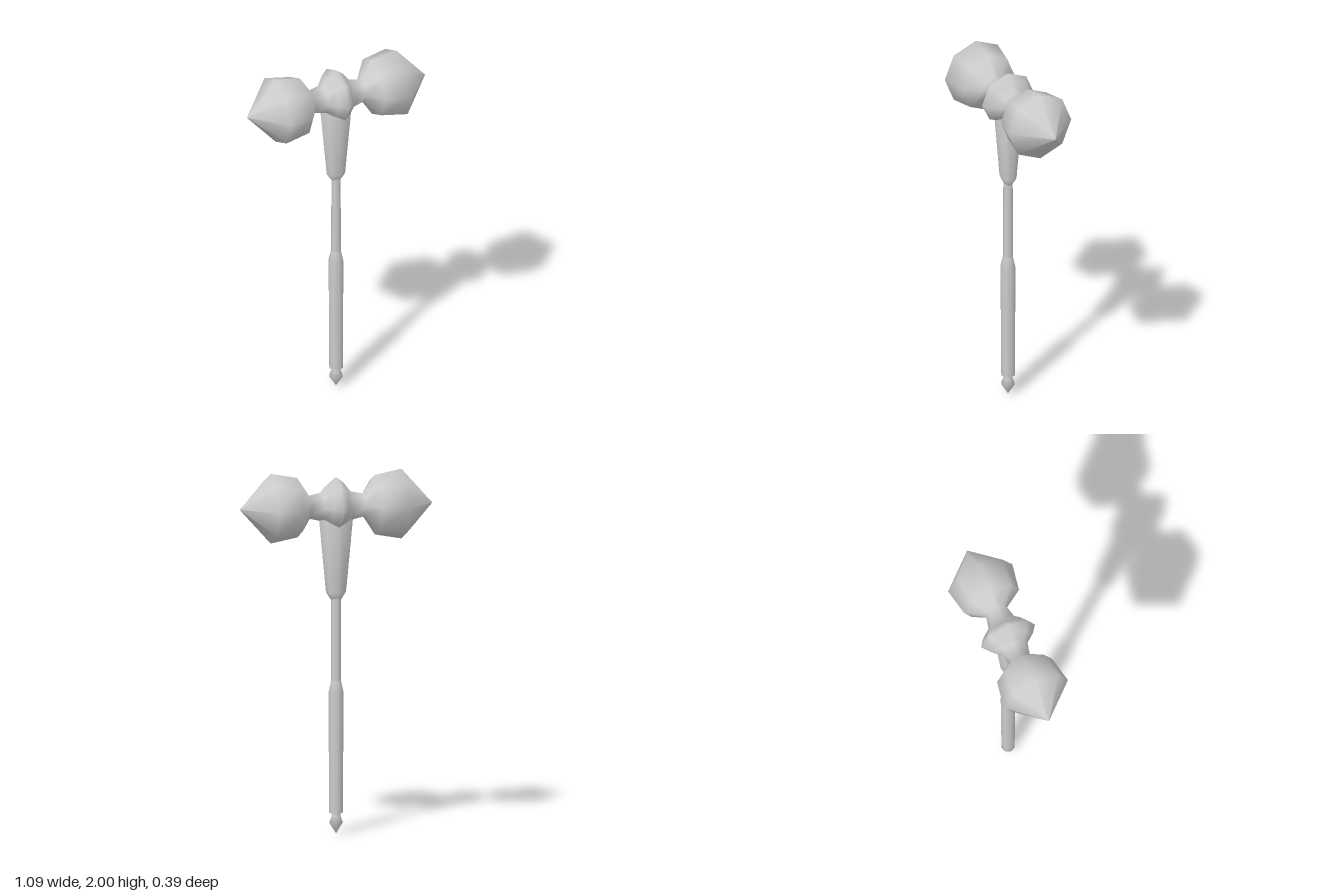
import * as THREE from 'three';

const material = new THREE.MeshStandardMaterial({ color: 0xcccccc });

// Eight-sided turned part from [radius, height] pairs, bottom to top
function turned(name, profile) {
  const points = profile.map(([r, y]) => new THREE.Vector2(r, y));
  const mesh = new THREE.Mesh(new THREE.LatheGeometry(points, 8), material);
  mesh.name = name;
  return mesh;
}

export function createModel() {
  const group = new THREE.Group();
  group.name = 'doubleHeadedMace';

  // Double head: one half profile mirrored about the central ridge
  const half = [[0, 0.545], [0.193, 0.37], [0.165, 0.22], [0.064, 0.153], [0.08, 0.082], [0.13, 0.042]];
  const profile = [
    ...half.map(([r, y]) => [r, -y]),
    [0.162, 0],
    ...half.slice().reverse(),
  ];
  const head = turned('head', profile);
  head.geometry.rotateZ(-Math.PI / 2);

  // Flatten the underside of the central ridge
  const pos = head.geometry.attributes.position;
  for (let i = 0; i < pos.count; i++) {
    if (Math.abs(pos.getX(i)) < 0.06 && pos.getY(i) < 0) pos.setY(i, pos.getY(i) * 0.82);
  }
  head.geometry.computeVertexNormals();
  // Restore smooth shading across the lathe seam
  const normal = head.geometry.attributes.normal;
  const ring = profile.length, last = 8 * ring;
  const a = new THREE.Vector3(), b = new THREE.Vector3();
  for (let j = 0; j < ring; j++) {
    a.fromBufferAttribute(normal, j).add(b.fromBufferAttribute(normal, last + j)).normalize();
    normal.setXYZ(j, a.x, a.y, a.z);
    normal.setXYZ(last + j, a.x, a.y, a.z);
  }
  head.position.y = 1.81;
  group.add(head);

  // Tapered socket, wider across than deep
  const socket = turned('socket', [[0.03, 1.295], [0.057, 1.335], [0.097, 1.75], [0, 1.79]]);
  socket.scale.z = 0.77;
  group.add(socket);

  // Slim shaft, thicker grip and its flat end
  group.add(turned('shaft', [[0.028, 0.82], [0.027, 1.32]]));
  group.add(turned('grip', [[0.039, 0.115], [0.043, 0.78], [0.028, 0.845]]));
  group.add(turned('gripEnd', [[0, 0.112], [0.039, 0.115]]));

  // Pointed pommel
  group.add(turned('pommel', [[0, 0], [0.039, 0.06], [0.024, 0.098], [0.026, 0.12]]));

  return group;
}
